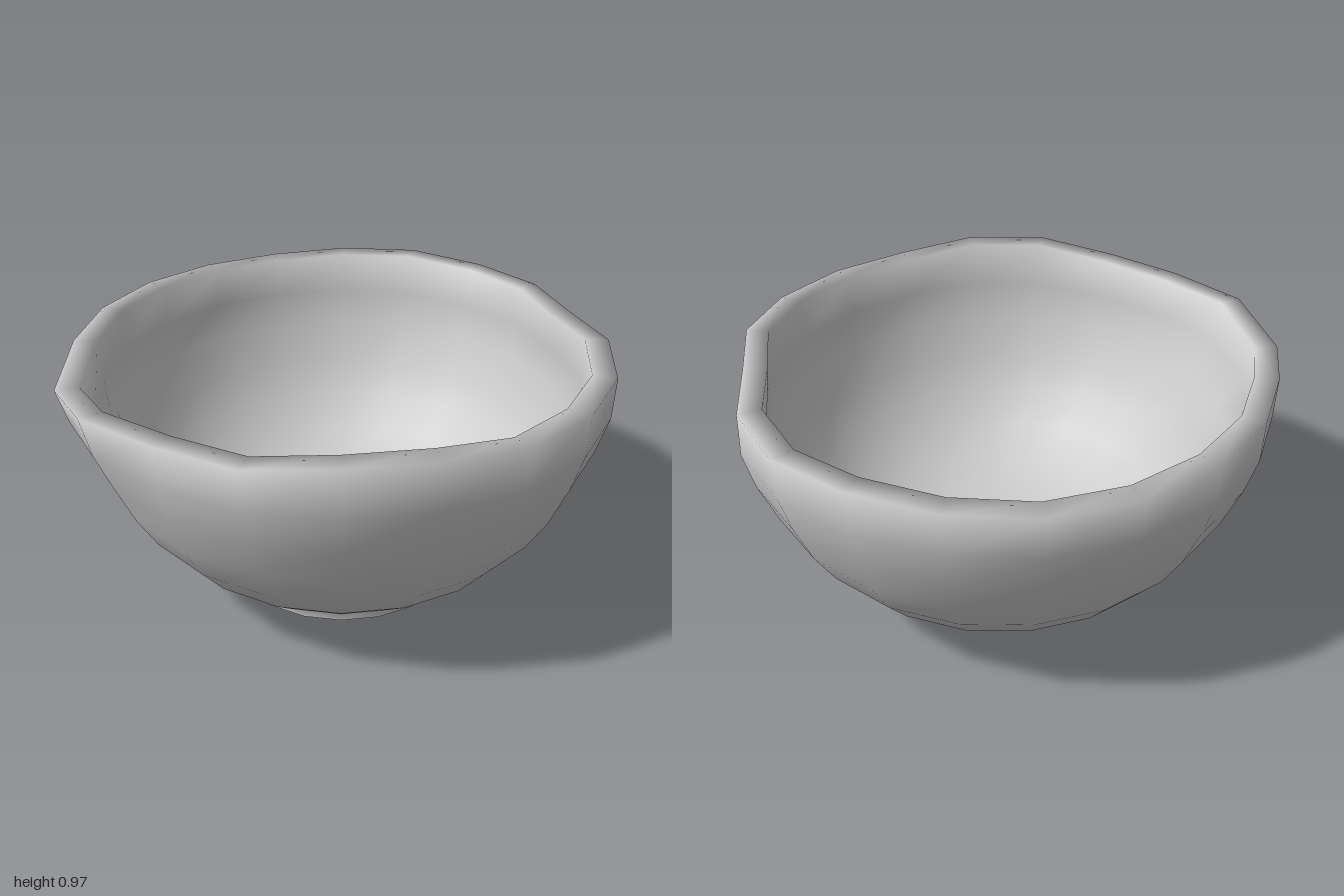
import * as THREE from 'three';

const SIDES = 20;
const CENTRE_X = 0.045;

// Wall profile [radius, height]: up the outside, over the lip, down to the inner floor
const PROFILE = [
  [0.45, 0], [0.45, 0.05], [0.58, 0.13], [0.705, 0.23], [0.805, 0.35],
  [0.88, 0.48], [0.945, 0.64], [0.985, 0.78], [0.99, 0.935],
  [0.903, 0.935], [0.895, 0.78], [0.86, 0.65], [0.795, 0.49], [0.72, 0.37],
  [0.62, 0.26], [0.49, 0.17], [0.33, 0.115], [0.16, 0.095], [0, 0.09],
];

// Hand-made unevenness of the rim, counted from the front (+z) towards +x
const RIM_HEIGHT = [
  0.97, 0.937, 0.935, 0.935, 0.945, 0.94, 0.94, 0.94, 0.953, 0.945,
  0.932, 0.932, 0.935, 0.935, 0.93, 0.885, 0.93, 0.935, 0.937, 0.97,
];
const RIM_LEAN = { 4: -0.02, 5: -0.07, 6: -0.02, 15: 0.055, 16: 0.055 };
const DENT_SIDE = 15;

function wallPoint(i, [r, y]) {
  const a = (i / SIDES) * Math.PI * 2;
  const t = Math.min(1, Math.max(0, (y - 0.5) / 0.435)) ** 2;
  let radius = r + (RIM_LEAN[i] ?? 0) * t;
  // shallow dent halfway up the side
  if (i === DENT_SIDE) radius -= 0.045 * Math.max(0, 1 - Math.abs(y - 0.53) / 0.2);
  const height = y + (RIM_HEIGHT[i] - 0.935) * t;
  return [CENTRE_X + radius * Math.sin(a), height, radius * Math.cos(a)];
}

function bowlGeometry() {
  const positions = [], index = [];
  PROFILE.forEach((p, row) => {
    for (let i = 0; i < SIDES; i++) {
      positions.push(...wallPoint(i, p));
      if (row === PROFILE.length - 1) continue;
      const a = row * SIDES + i, b = row * SIDES + ((i + 1) % SIDES);
      index.push(a, b, b + SIDES, a, b + SIDES, a + SIDES);
    }
  });
  const g = new THREE.BufferGeometry();
  g.setAttribute('position', new THREE.Float32BufferAttribute(positions, 3));
  g.setIndex(index);
  g.computeVertexNormals();
  return g;
}

export function createModel() {
  const group = new THREE.Group();
  group.name = 'bowl';
  const material = new THREE.MeshStandardMaterial({ color: 0xcccccc });

  // Foot, wall, lip and inside as one smooth skin
  const wall = new THREE.Mesh(bowlGeometry(), material);
  wall.name = 'bowlWall';

  // Flat underside with a sharp edge
  const base = new THREE.Mesh(new THREE.CircleGeometry(0.45, SIDES).rotateX(Math.PI / 2), material);
  base.name = 'footBase';
  base.position.x = CENTRE_X;

  group.add(wall, base);
  return group;
}
